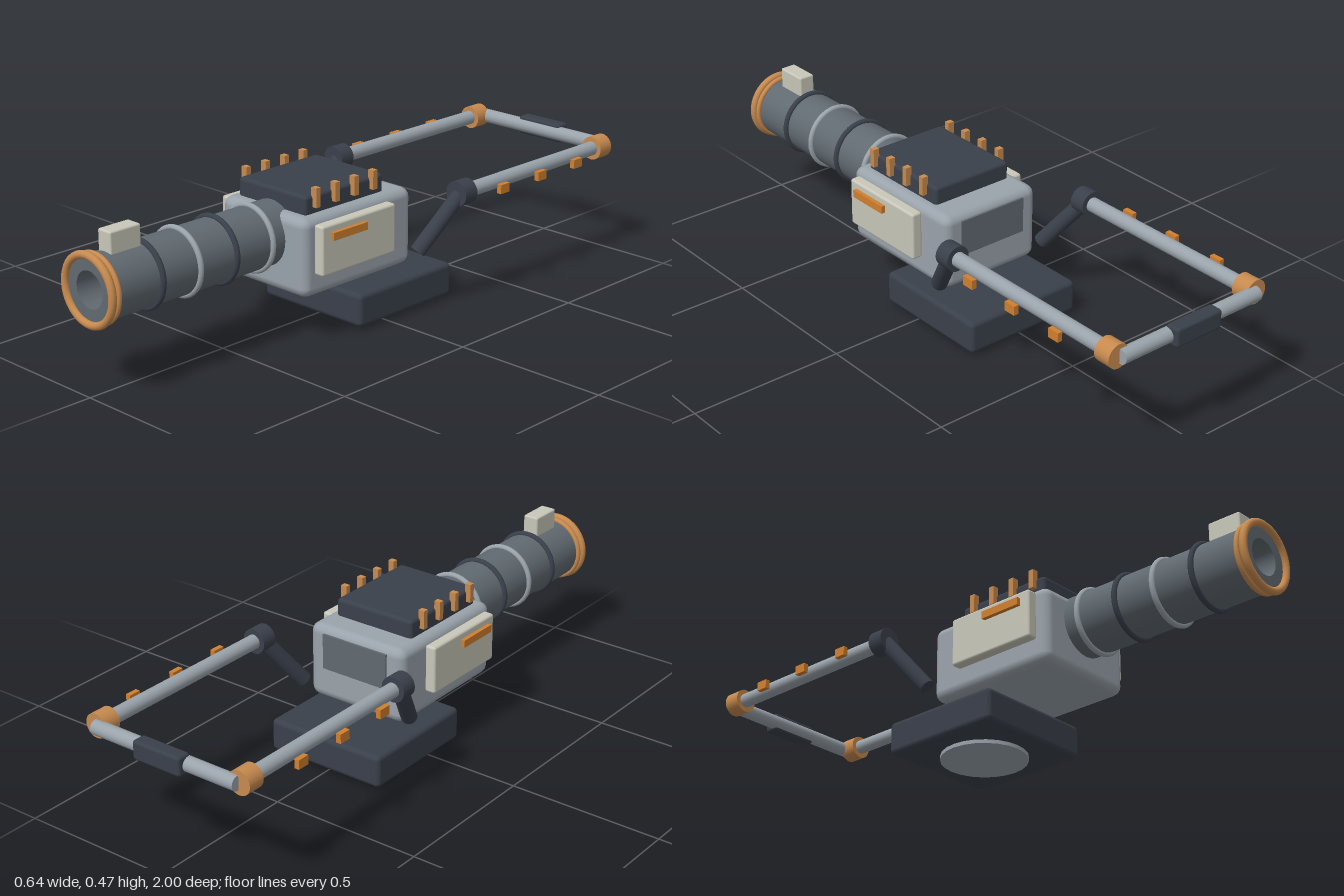
import * as THREE from 'three';
import { RoundedBoxGeometry } from 'three/addons/geometries/RoundedBoxGeometry.js';

const mat = (name, color, side = THREE.FrontSide) => {
  const m = new THREE.MeshStandardMaterial({ color, side });
  m.name = name;
  return m;
};

export function createModel() {
  const light = mat('light grey metal', 0x9aa3ab);
  const steel = mat('steel grey', 0x616a71);
  const dark = mat('dark slate', 0x3a404b);
  const cream = mat('cream', 0xc8c7b9);
  const copper = mat('copper', 0xc78a4e);
  const amber = mat('amber', 0xd17f2e);

  const model = new THREE.Group();
  model.name = 'device';

  const add = (name, geometry, material, x, y, z, parent = model) => {
    const mesh = new THREE.Mesh(geometry, material);
    mesh.name = name;
    mesh.position.set(x, y, z);
    parent.add(mesh);
    return mesh;
  };
  const block = (name, w, h, d, r, material, x, y, z, parent) =>
    add(name, new RoundedBoxGeometry(w, h, d, 2, r), material, x, y, z, parent);
  const box = (name, w, h, d, material, x, y, z, parent) =>
    add(name, new THREE.BoxGeometry(w, h, d), material, x, y, z, parent);
  // Round bar between two points
  const bar = (name, a, b, r, material, parent) => {
    const from = new THREE.Vector3(...a), to = new THREE.Vector3(...b);
    const dir = to.clone().sub(from);
    const mid = from.clone().add(to).multiplyScalar(0.5);
    const mesh = add(name, new THREE.CylinderGeometry(r, r, dir.length(), 24), material, mid.x, mid.y, mid.z, parent);
    mesh.quaternion.setFromUnitVectors(new THREE.Vector3(0, 1, 0), dir.normalize());
    return mesh;
  };

  // Floating base with its foot disc
  block('base', 0.412, 0.106, 0.412, 0.016, dark, 0, 0.065, -0.075);
  bar('footDisc', [0, 0, -0.075], [0, 0.02, -0.075], 0.136, light);

  // Main housing
  block('body', 0.356, 0.245, 0.461, 0.03, light, 0, 0.2725, 0.104);
  block('topCover', 0.284, 0.066, 0.33, 0.012, dark, 0, 0.419, 0.13);
  box('rearPanel', 0.24, 0.115, 0.009, steel, 0, 0.315, -0.127);

  // Hollow barrel, open at the front
  const cy = 0.316, ro = 0.098, ri = 0.056;
  const z0 = 0.29, z1 = 0.985;
  const barrel = new THREE.Group();
  barrel.name = 'barrel';
  model.add(barrel);
  bar('barrelOuter', [0, cy, z0], [0, cy, z1], ro, steel, barrel).geometry =
    new THREE.CylinderGeometry(ro, ro, z1 - z0, 36, 1, true);
  const bore = mat('bore steel', 0x616a71, THREE.BackSide);
  bar('barrelBore', [0, cy, z0], [0, cy, z1], ri, bore, barrel).geometry =
    new THREE.CylinderGeometry(ri, ri, z1 - z0, 36, 1, true);
  add('muzzleFace', new THREE.RingGeometry(ri, ro, 36), steel, 0, cy, z1, barrel);

  // Bands around the barrel
  const band = (name, z, major, tube, material) =>
    add(name, new THREE.TorusGeometry(major, tube, 12, 40), material, 0, cy, z, barrel);
  [0.385, 0.666].forEach((z) => band('lightBand', z, 0.1, 0.009, light));
  [0.527, 0.805].forEach((z) => band('darkBand', z, 0.1, 0.009, dark));
  band('muzzleRing', 0.988, 0.102, 0.012, copper);
  band('muzzleRearRing', 0.964, 0.101, 0.008, copper);
  block('sight', 0.054, 0.085, 0.11, 0.006, cream, 0, 0.4325, 0.873);

  // Mirrored parts
  for (const s of [1, -1]) {
    const side = new THREE.Group();
    side.name = s > 0 ? 'leftSide' : 'rightSide';
    model.add(side);

    // Side plate with indicator strip
    block('sidePlate', 0.037, 0.155, 0.31, 0.008, cream, s * 0.196, 0.3, 0.142, side);
    box('sideStrip', 0.018, 0.024, 0.142, amber, s * 0.219, 0.343, 0.193, side);

    // Cooling fins beside the top cover
    for (let i = 0; i < 4; i++)
      box('fin', 0.021, 0.06, 0.018, copper, s * 0.1475, 0.445, 0.017 + i * 0.08, side);

    // Handle arm
    const x = s * 0.262, y = 0.365;
    bar('strut', [s * 0.203, 0.192, -0.125], [x, y, -0.255], 0.025, dark, side);
    bar('armJoint', [x, y, -0.285], [x, y, -0.232], 0.04, dark, side);
    bar('armTube', [x, y, -0.25], [x, y, -0.94], 0.023, light, side);
    bar('cornerSleeve', [x, y, -0.958], [x, y, -0.902], 0.038, copper, side);
    for (let i = 0; i < 3; i++)
      box('armMarker', 0.016, 0.029, 0.04, amber, s * 0.311, 0.358, -0.397 - i * 0.181, side);
  }

  // Rear crossbar and grip
  bar('crossbar', [-0.26, 0.365, -0.962], [0.26, 0.365, -0.962], 0.023, light);
  block('grip', 0.172, 0.062, 0.048, 0.01, dark, 0, 0.366, -0.976);

  return model;
}
